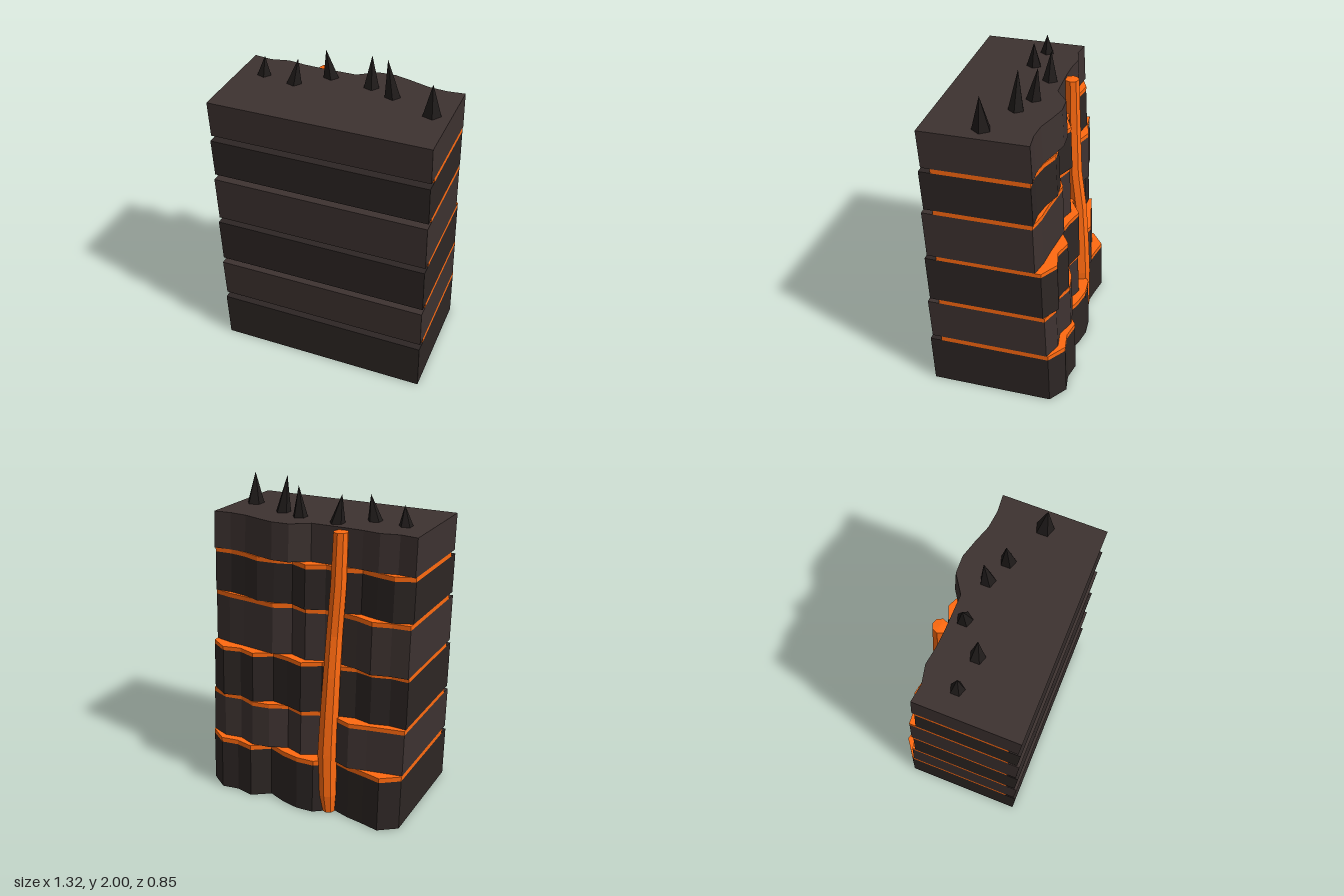
import * as THREE from 'three';

const HALF = 0.66;
const SHEAR = 0.015;

// Back edge of every rock layer (z at evenly spaced x), from the bottom up
const layers = [
  { y0: 0, y1: 0.32, back: [-.335, -.415, -.39, -.37, -.335, -.415, -.42, -.395, -.35, -.425, -.4, -.415, -.335] },
  { y0: 0.35, y1: 0.613, back: [-.31, -.33, -.35, -.375, -.335, -.31, -.36, -.32, -.37, -.385, -.34, -.355, -.31] },
  { y0: 0.64, y1: 0.935, back: [-.275, -.27, -.3, -.275, -.3, -.29, -.355, -.32, -.3, -.365, -.33, -.355, -.285] },
  { y0: 0.96, y1: 1.253, back: [-.27, -.28, -.31, -.27, -.25, -.25, -.29, -.25, -.3, -.285, -.27, -.26, -.235] },
  { y0: 1.28, y1: 1.523, back: [-.215, -.26, -.24, -.21, -.25, -.24, -.29, -.24, -.27, -.28, -.24, -.22, -.225] },
  { y0: 1.55, y1: 1.775, back: [-.215, -.2, -.225, -.21, -.205, -.205, -.205, -.28, -.285, -.255, -.22, -.21, -.22] },
];

const material = (color) => new THREE.MeshStandardMaterial({ color, flatShading: true });

// Horizontal slab with a straight front and a ragged back
function slabGeometry(front, back, y0, y1) {
  const shape = new THREE.Shape();
  shape.moveTo(-HALF, -front);
  shape.lineTo(HALF, -front);
  for (let i = back.length - 1; i >= 0; i--) {
    shape.lineTo(-HALF + (2 * HALF * i) / (back.length - 1), -back[i]);
  }
  shape.closePath();
  const geo = new THREE.ExtrudeGeometry(shape, { depth: y1 - y0, bevelEnabled: false });
  return geo.rotateX(-Math.PI / 2).translate(0, y0, 0);
}

// Moves every vertex sideways by a rule that depends on its height
function shiftByHeight(geo, rule) {
  const p = geo.attributes.position;
  for (let i = 0; i < p.count; i++) {
    const [dx, dz] = rule(p.getY(i));
    p.setX(i, p.getX(i) + dx);
    p.setZ(i, p.getZ(i) + dz);
  }
  geo.computeVertexNormals();
  return geo;
}

export function createModel() {
  const group = new THREE.Group();
  const darkRock = material(0x2d2624);
  const lightRock = material(0x3d3230);
  const spikeRock = material(0x1f1b1a);
  const lava = material(0xff6a10);

  const add = (name, geo, mat) => {
    const mesh = new THREE.Mesh(geo, mat);
    mesh.name = name;
    group.add(mesh);
  };

  // Rock layers leaning slightly forward, with glowing seams between them
  layers.forEach(({ y0, y1, back }, i) => {
    const rock = slabGeometry(0.41, back, y0, y1);
    shiftByHeight(rock, (y) => [0, (SHEAR * (y - y0)) / (y1 - y0)]);
    add(`rockLayer${i + 1}`, rock, i % 2 ? lightRock : darkRock);

    if (i < layers.length - 1) {
      const seamBack = back.map((z) => z + SHEAR);
      add(`lavaSeam${i + 1}`, slabGeometry(0.355, seamBack, y1, layers[i + 1].y0), lava);
    }
  });

  // Lava stream down the back: [y, radius, x, z]
  const stream = [
    [0.0, 0.04, -0.19, -0.345],
    [0.12, 0.055, -0.185, -0.345],
    [0.4, 0.064, -0.175, -0.33],
    [0.65, 0.06, -0.18, -0.315],
    [0.9, 0.055, -0.185, -0.295],
    [1.15, 0.052, -0.185, -0.26],
    [1.45, 0.05, -0.2, -0.24],
    [1.76, 0.045, -0.205, -0.225],
  ];
  const profile = stream.map(([y, r]) => new THREE.Vector2(r, y));
  profile.unshift(new THREE.Vector2(0, 0));
  profile.push(new THREE.Vector2(0, 1.765));
  const streamGeo = shiftByHeight(new THREE.LatheGeometry(profile, 8), (y) => {
    let k = 0;
    while (k < stream.length - 2 && y > stream[k + 1][0]) k++;
    const [a, b] = [stream[k], stream[k + 1]];
    const t = Math.min(1, (y - a[0]) / (b[0] - a[0]));
    return [THREE.MathUtils.lerp(a[2], b[2], t), THREE.MathUtils.lerp(a[3], b[3], t)];
  });
  add('lavaStream', streamGeo, lava);

  // Leaning five-sided spikes on top: [x, z, radius, tip height, tip x, tip z]
  const spikes = [
    [-0.505, 0.0, 0.045, 1.895, -0.495, 0.0],
    [-0.3, 0.03, 0.048, 1.93, -0.272, 0.025],
    [-0.125, -0.115, 0.049, 1.945, -0.155, -0.11],
    [0.135, -0.085, 0.048, 1.965, 0.13, -0.105],
    [0.285, -0.025, 0.049, 2.0, 0.25, -0.025],
    [0.55, 0.09, 0.057, 1.968, 0.55, 0.1],
  ];
  const top = 1.77;
  spikes.forEach(([x, z, r, tip, tx, tz], i) => {
    const h = tip - top;
    const geo = new THREE.ConeGeometry(r, h, 5).rotateY(Math.PI / 2).translate(x, top + h / 2, z);
    shiftByHeight(geo, (y) => [((tx - x) * (y - top)) / h, ((tz - z) * (y - top)) / h]);
    add(`spike${i + 1}`, geo, spikeRock);
  });

  return group;
}
